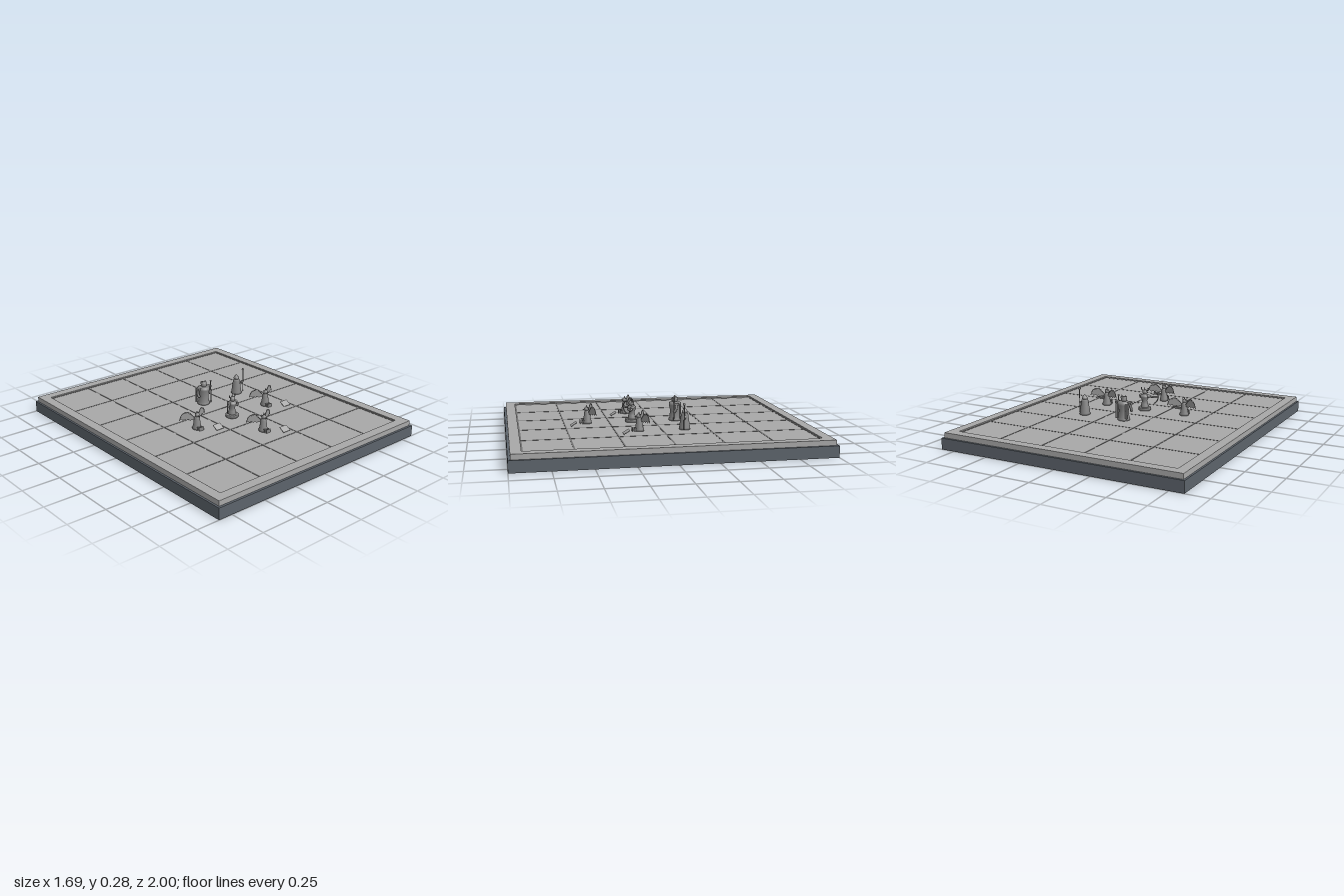
import * as THREE from 'three';

const paint = (name, color, side = THREE.FrontSide) => {
  const m = new THREE.MeshStandardMaterial({ color, side });
  m.name = name;
  return m;
};

export function createModel() {
  const slate = paint('slate', 0x5c636b);
  const stone = paint('stone', 0xa8a8a8);
  const mortar = paint('mortar', 0x707070);
  const pewter = paint('pewter', 0x858585);
  const membrane = paint('membrane', 0x989898, THREE.DoubleSide);

  const model = new THREE.Group();
  model.name = 'gameBoard';

  const add = (parent, name, geo, mat, x = 0, y = 0, z = 0) => {
    const m = new THREE.Mesh(geo, mat);
    m.name = name;
    m.position.set(x, y, z);
    parent.add(m);
    return m;
  };
  const box = (p, name, w, h, d, mat, x, y, z) => add(p, name, new THREE.BoxGeometry(w, h, d), mat, x, y, z);
  const ball = (p, name, r, x, y, z) => add(p, name, new THREE.SphereGeometry(r, 14, 10), pewter, x, y, z);
  const cone = (p, name, r, h, x, y, z) => add(p, name, new THREE.ConeGeometry(r, h, 12), pewter, x, y, z);
  const lathe = (p, name, pts) =>
    add(p, name, new THREE.LatheGeometry(pts.map(([r, y]) => new THREE.Vector2(r, y)), 20), pewter);
  const tube = (p, name, pts, r) => add(p, name, new THREE.TubeGeometry(
    new THREE.CatmullRomCurve3(pts.map((q) => new THREE.Vector3(...q))), 14, r, 8), pewter);
  const figure = (name, x, z) => {
    const g = new THREE.Group();
    g.name = name;
    g.position.set(x, 0.1, z);
    model.add(g);
    return g;
  };

  // Plinth, sunken floor and raised border
  box(model, 'plinth', 1.69, 0.075, 2, slate, 0, 0.0375, 0);
  box(model, 'floor', 1.6, 0.025, 1.9, stone, 0, 0.0875, 0);
  const border = new THREE.Shape();
  border.moveTo(-0.832, -0.985).lineTo(0.832, -0.985).lineTo(0.832, 0.985).lineTo(-0.832, 0.985);
  const opening = new THREE.Path();
  opening.moveTo(-0.767, -0.919).lineTo(-0.767, 0.919).lineTo(0.767, 0.919).lineTo(0.767, -0.919);
  border.holes.push(opening);
  const borderGeo = new THREE.ExtrudeGeometry(border, { depth: 0.034, bevelEnabled: false });
  borderGeo.rotateX(-Math.PI / 2);
  add(model, 'border', borderGeo, stone, 0, 0.075, 0);

  // Mortar lines: five squares by six
  for (let i = 0; i <= 5; i++)
    box(model, 'longLine', 0.01, 0.002, 1.838, mortar, -0.762 + i * 0.3048, 0.1005, 0);
  for (let j = 0; j <= 6; j++)
    box(model, 'crossLine', 1.534, 0.002, 0.01, mortar, 0, 0.1004, -0.914 + j * 0.3047);

  // Winged guardians, each with a tilted plaque in front
  const wing = new THREE.Shape();
  wing.moveTo(0, 0.075).lineTo(0.045, 0.12).lineTo(0.085, 0.108).lineTo(0.103, 0.068);
  wing.quadraticCurveTo(0.088, 0.085, 0.08, 0.062);
  wing.quadraticCurveTo(0.068, 0.082, 0.055, 0.06);
  wing.quadraticCurveTo(0.045, 0.078, 0.03, 0.058);
  wing.quadraticCurveTo(0.02, 0.07, 0, 0.058);
  const wingGeo = new THREE.ShapeGeometry(wing, 5);
  for (const [x, z] of [[0, 0.455], [-0.305, 0.15], [0.305, 0.15]]) {
    const g = figure('wingedGuardian', x, z);
    lathe(g, 'body', [[0, 0], [0.031, 0], [0.031, 0.014], [0.026, 0.022], [0.019, 0.075], [0.012, 0.09], [0, 0.093]]);
    ball(g, 'head', 0.016, 0, 0.097, 0.004);
    cone(g, 'crest', 0.008, 0.024, 0, 0.116, 0.002);
    const snout = cone(g, 'snout', 0.008, 0.022, 0, 0.094, 0.022);
    snout.rotation.x = Math.PI / 2;
    for (const s of [-1, 1]) {
      const pivot = new THREE.Group();
      pivot.name = s > 0 ? 'leftWing' : 'rightWing';
      pivot.position.set(s * 0.012, 0, -0.008);
      pivot.rotation.y = s > 0 ? 0.42 : Math.PI - 0.42;
      add(pivot, 'wingMembrane', wingGeo, membrane);
      tube(pivot, 'wingBone', [[0, 0.075, 0], [0.045, 0.12, 0], [0.085, 0.108, 0], [0.103, 0.068, 0]], 0.0022);
      g.add(pivot);
      box(g, 'foot', 0.011, 0.022, 0.02, pewter, s * 0.012, 0.011, 0.026);
      const ear = cone(g, 'ear', 0.005, 0.02, s * 0.012, 0.11, -0.002);
      ear.rotation.z = -s * 0.5;
    }
    box(g, 'toeMarker', 0.036, 0.025, 0.003, pewter, 0, 0.0125, 0.047);
    const plaque = box(g, 'plaque', 0.06, 0.004, 0.046, stone, 0.097, 0.018, 0.1);
    plaque.rotation.x = 0.54;
  }

  // Horned archer on a round stand
  const archer = figure('hornedArcher', 0, 0.15);
  lathe(archer, 'stand', [[0, 0], [0.045, 0], [0.045, 0.018], [0.04, 0.022], [0, 0.022]]);
  lathe(archer, 'body', [[0.028, 0.02], [0.024, 0.045], [0.017, 0.065], [0.03, 0.092], [0.03, 0.104], [0.012, 0.114], [0, 0.115]]);
  ball(archer, 'head', 0.018, 0, 0.127, 0.003);
  for (const s of [-1, 1]) {
    tube(archer, 'horn', [[s * 0.011, 0.135, 0], [s * 0.024, 0.144, 0], [s * 0.025, 0.16, 0]], 0.0038);
    ball(archer, 'shoulder', 0.013, s * 0.03, 0.1, 0);
  }
  cone(archer, 'crest', 0.007, 0.026, 0, 0.15, 0);
  tube(archer, 'bowArm', [[-0.028, 0.1, 0.005], [-0.05, 0.092, 0.022], [-0.076, 0.09, 0.042]], 0.007);
  tube(archer, 'drawArm', [[0.03, 0.1, 0], [0.04, 0.085, 0.012], [0.012, 0.088, 0.03]], 0.007);
  tube(archer, 'bow', [[-0.06, 0.045, 0.026], [-0.076, 0.062, 0.039], [-0.083, 0.09, 0.046],
    [-0.076, 0.118, 0.039], [-0.06, 0.135, 0.026]], 0.004);
  tube(archer, 'bowString', [[-0.06, 0.045, 0.026], [-0.06, 0.09, 0.026], [-0.06, 0.135, 0.026]], 0.001);

  // Broad robed warden with a staff
  const warden = figure('robedWarden', 0, -0.15);
  lathe(warden, 'robe', [[0, 0], [0.043, 0], [0.043, 0.012], [0.037, 0.02], [0.033, 0.07], [0.042, 0.105],
    [0.042, 0.122], [0.026, 0.128], [0, 0.13]]);
  ball(warden, 'head', 0.02, 0, 0.14, 0.002);
  lathe(warden, 'crown', [[0.02, 0.146], [0.022, 0.158], [0.012, 0.16], [0, 0.16]]);
  for (const s of [-1, 1]) {
    box(warden, 'shoulderPlate', 0.026, 0.014, 0.03, pewter, s * 0.045, 0.118, 0);
    tube(warden, 'arm', [[s * 0.046, 0.115, 0], [s * 0.053, 0.085, 0.003], [s * 0.05, 0.062, 0.016]], 0.009);
    box(warden, 'capeEdge', 0.016, 0.1, 0.008, pewter, s * 0.036, 0.065, -0.03);
    cone(warden, 'crownPoint', 0.005, 0.018, s * 0.014, 0.166, 0);
  }
  tube(warden, 'staff', [[0.05, 0.002, 0.018], [0.05, 0.08, 0.018], [0.05, 0.16, 0.018]], 0.0035);
  ball(warden, 'staffKnob', 0.007, 0.05, 0.16, 0.018);

  // Hooded mage with a tall staff
  const mage = figure('hoodedMage', 0.305, -0.15);
  lathe(mage, 'robe', [[0, 0], [0.038, 0], [0.036, 0.012], [0.024, 0.095], [0.02, 0.108], [0, 0.11]]);
  ball(mage, 'head', 0.019, 0, 0.113, 0);
  cone(mage, 'hood', 0.02, 0.026, 0, 0.13, -0.002);
  tube(mage, 'arm', [[0.02, 0.088, 0], [0.034, 0.076, 0.008], [0.05, 0.078, 0.014]], 0.007);
  tube(mage, 'staff', [[0.05, 0.005, 0.014], [0.05, 0.09, 0.014], [0.05, 0.168, 0.014]], 0.0032);
  ball(mage, 'staffOrb', 0.009, 0.05, 0.172, 0.014);

  return model;
}
